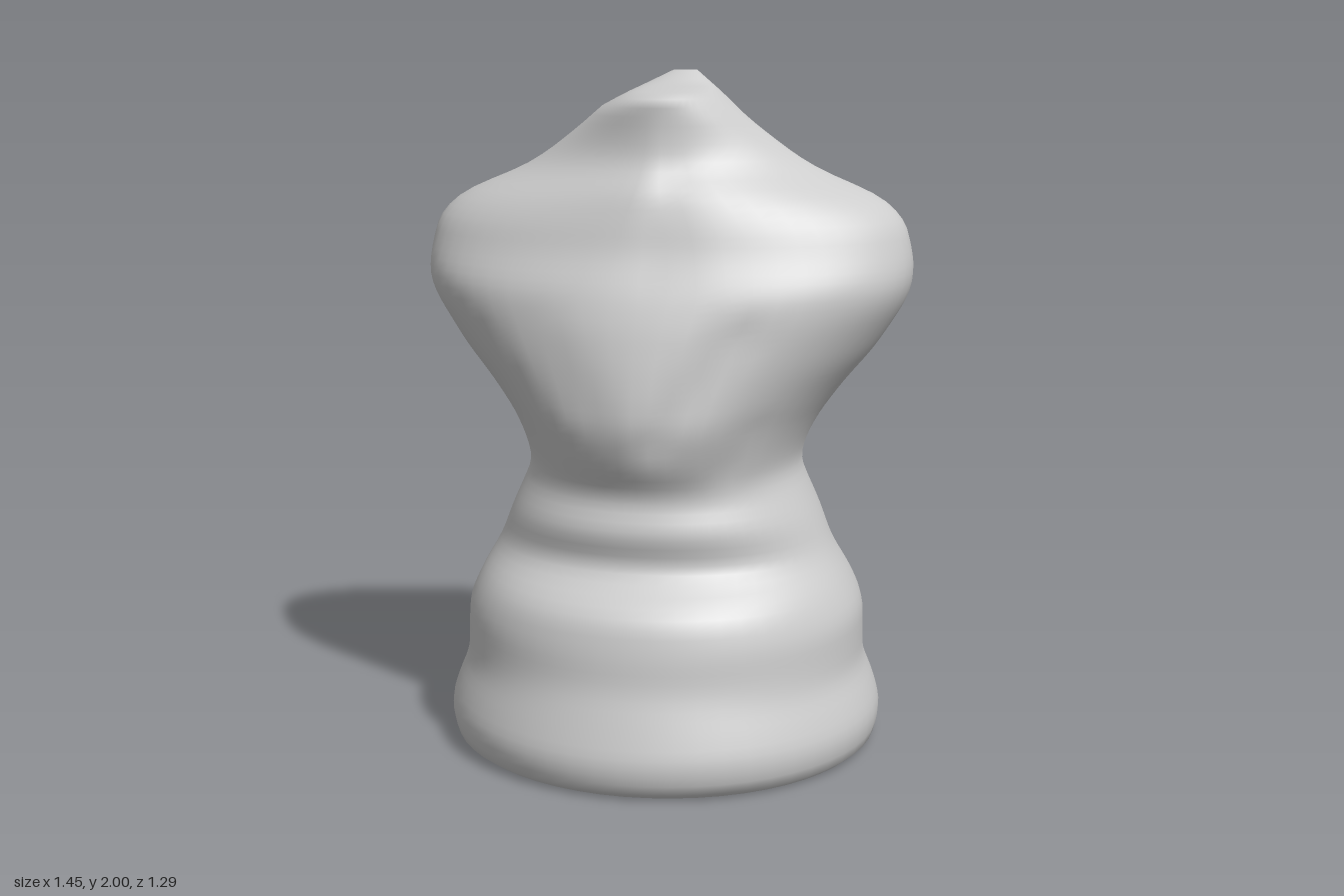
import * as THREE from 'three';

// Silhouette rules, each a list of [height, value]
const halfWidth = [[0, 0.62], [0.02, 0.645], [0.1, 0.66], [0.18, 0.635], [0.25, 0.603], [0.42, 0.6], [0.5, 0.565],
  [0.6, 0.507], [0.7, 0.468], [0.78, 0.432], [0.85, 0.402], [0.92, 0.418], [1, 0.458], [1.1, 0.53], [1.2, 0.615],
  [1.3, 0.68], [1.36, 0.714], [1.43, 0.728], [1.5, 0.718], [1.58, 0.695], [1.65, 0.615], [1.7, 0.475],
  [1.75, 0.385], [1.8, 0.318], [1.85, 0.252], [1.9, 0.195], [1.94, 0.135], [2, 0.035]];
const front = [[0, 0.6], [0.02, 0.635], [0.1, 0.652], [0.2, 0.62], [0.3, 0.585], [0.4, 0.575], [0.5, 0.55],
  [0.55, 0.49], [0.6, 0.417], [0.65, 0.425], [0.72, 0.448], [0.77, 0.42], [0.82, 0.412], [0.9, 0.46], [0.96, 0.487],
  [1.02, 0.51], [1.1, 0.5], [1.2, 0.48], [1.3, 0.454], [1.4, 0.417], [1.5, 0.367], [1.6, 0.342], [1.68, 0.317],
  [1.74, 0.265], [1.82, 0.25], [1.925, 0.25], [1.942, 0.19], [1.955, 0.07], [2, 0]];
const back = [[0, -0.59], [0.03, -0.63], [0.1, -0.648], [0.2, -0.615], [0.3, -0.575], [0.4, -0.57], [0.5, -0.545],
  [0.55, -0.49], [0.61, -0.412], [0.66, -0.42], [0.72, -0.445], [0.78, -0.4], [0.85, -0.368], [1, -0.367], [1.2, -0.375],
  [1.33, -0.376], [1.42, -0.364], [1.5, -0.342], [1.6, -0.292], [1.7, -0.22], [1.8, -0.15], [1.9, -0.09], [2, -0.035]];
// Roundness of the front and back halves: 2 is an ellipse, lower is more pointed
const frontPower = [[0, 2], [0.8, 2.1], [1.02, 1.8], [1.2, 1.85], [1.4, 2.05], [1.55, 1.85], [1.68, 1.55], [1.8, 1.6],
  [1.9, 1.9], [2, 2]];
const backPower = [[0, 2], [0.8, 2.1], [1.1, 2.3], [1.4, 2.4], [1.55, 2.15], [1.75, 1.85], [2, 2]];
const centreX = [[0, 0], [1.6, 0.005], [1.9, 0.018], [2, 0.055]];
const centreZ = [[0, 0], [1.4, -0.01], [1.7, -0.02], [1.88, 0.04], [1.94, 0.02], [2, -0.018]];

function linear(table, y) {
  let i = 0;
  while (i < table.length - 2 && y > table[i + 1][0]) i++;
  const [y0, v0] = table[i], [y1, v1] = table[i + 1];
  return v0 + (v1 - v0) * THREE.MathUtils.clamp((y - y0) / (y1 - y0), 0, 1);
}

// Soften the corners of a rule, except at the rims
function sample(table, y) {
  const w = THREE.MathUtils.clamp(Math.min(y / 2, (1.9 - y) / 2), 0, 0.03);
  return (linear(table, y - w) + linear(table, y - w / 2) + linear(table, y) +
    linear(table, y + w / 2) + linear(table, y + w)) / 5;
}

// Drapery creases: [x0, y0, x1, y1, width, depth]
const creases = [
  [0.07, 1.0, 0.28, 1.28, 0.06, 0.02],
  [-0.1, 1.03, -0.3, 1.3, 0.07, 0.01],
  [0.25, 0.9, 0.32, 1.02, 0.04, 0.012],
  [0.05, 1.45, 0.08, 1.7, 0.06, 0.01],
];
function creaseDepth(x, y) {
  let depth = 0;
  for (const [x0, y0, x1, y1, width, d] of creases) {
    const dx = x1 - x0, dy = y1 - y0;
    const t = THREE.MathUtils.clamp(((x - x0) * dx + (y - y0) * dy) / (dx * dx + dy * dy), 0, 1);
    const r = Math.hypot(x - x0 - t * dx, y - y0 - t * dy) / width;
    depth += d * Math.exp(-r * r);
  }
  return depth;
}

const SIDES = 56;
function ring(y) {
  const a = sample(halfWidth, y), cx = sample(centreX, y), cz = sample(centreZ, y);
  const points = [];
  for (let i = 0; i < SIDES; i++) {
    const t = (i / SIDES) * Math.PI * 2, c = Math.cos(t), s = Math.sin(t);
    const isFront = s > 0;
    const p = 2 / sample(isFront ? frontPower : backPower, y);
    const depth = isFront ? sample(front, y) - cz : cz - sample(back, y);
    const x = cx + a * Math.sign(c) * Math.abs(c) ** p;
    let z = cz + depth * Math.sign(s) * Math.abs(s) ** p;
    if (isFront) z -= creaseDepth(x, y) * s;
    points.push(x, y, z);
  }
  return points;
}

function loft(heights) {
  const positions = [], index = [];
  heights.forEach((y) => positions.push(...ring(y)));
  for (let j = 0; j < heights.length - 1; j++) {
    for (let i = 0; i < SIDES; i++) {
      const k = (i + 1) % SIDES;
      const a = j * SIDES + i, b = j * SIDES + k;
      index.push(a, a + SIDES, b, b, a + SIDES, b + SIDES);
    }
  }
  // Close the peak
  const last = (heights.length - 1) * SIDES;
  positions.push(sample(centreX, 2), 2, sample(centreZ, 2));
  for (let i = 0; i < SIDES; i++) index.push(last + i, last + SIDES, last + ((i + 1) % SIDES));
  const geometry = new THREE.BufferGeometry();
  geometry.setAttribute('position', new THREE.Float32BufferAttribute(positions, 3));
  geometry.setIndex(index);
  geometry.computeVertexNormals();
  return geometry;
}

export function createModel() {
  const group = new THREE.Group();
  group.name = 'bust';
  const stone = new THREE.MeshStandardMaterial({ color: 0xcccccc });
  stone.name = 'grey stone';

  // Draped torso on its round, banded pedestal, as one continuous skin
  const heights = [0, 0.02];
  for (let y = 0.05; y < 1.92; y += 0.025) heights.push(y);
  heights.push(1.925, 1.942, 1.955, 1.975, 2);
  const body = new THREE.Mesh(loft(heights), stone);
  body.name = 'torsoAndPedestal';
  group.add(body);

  // Flat underside
  const underside = new THREE.Mesh(new THREE.CircleGeometry(1, SIDES), stone);
  underside.name = 'underside';
  underside.rotation.x = Math.PI / 2;
  underside.scale.set(0.62, 0.595, 1);
  group.add(underside);
  return group;
}
